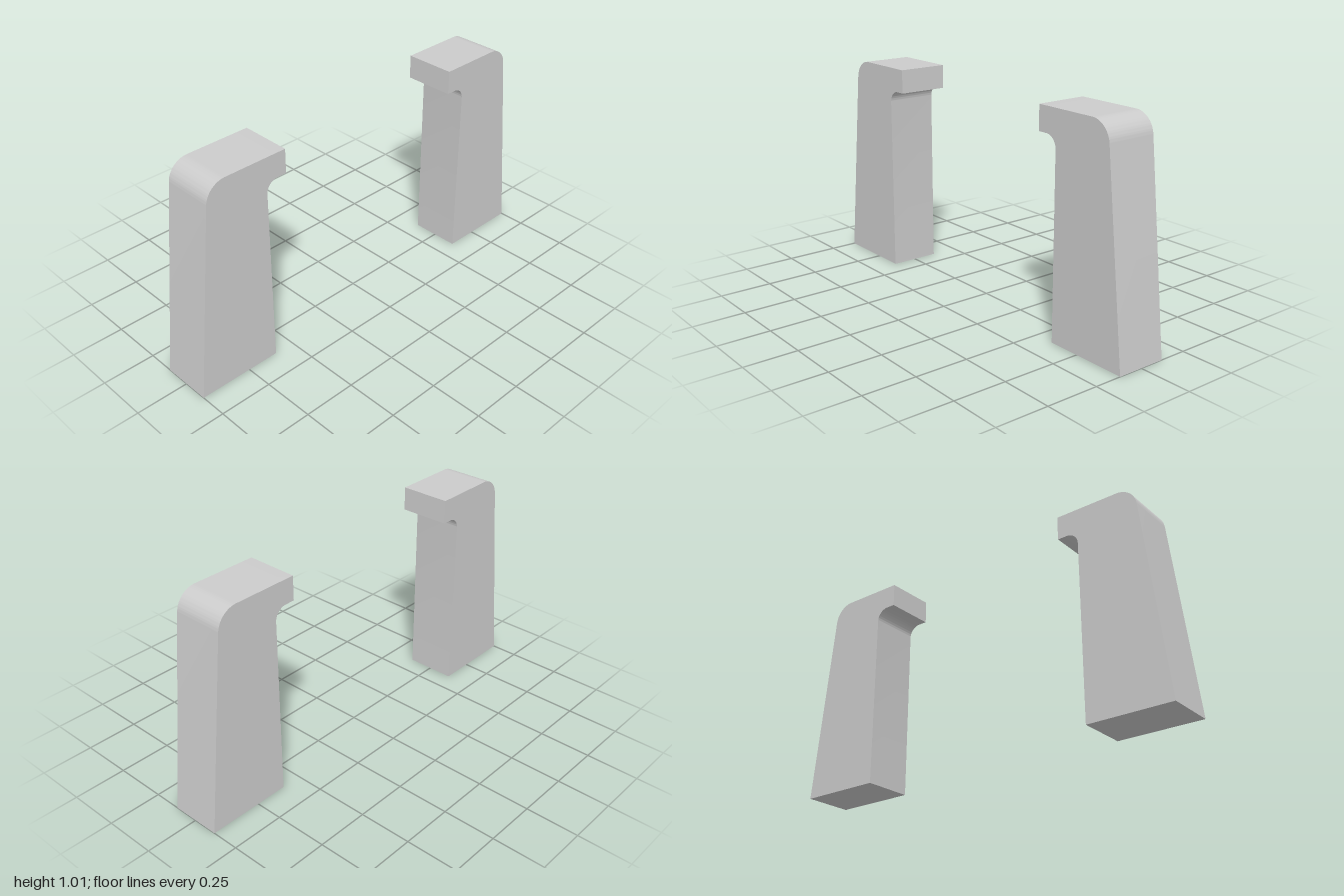
import * as THREE from 'three';
import { toCreasedNormals } from 'three/addons/utils/BufferGeometryUtils.js';

const DEPTH = 0.24;

// Side profile of one upright: tapered outer face, rounded shoulder, inward lip
function uprightGeometry() {
  const top = 1.013, inner = 0.597, tip = 0.495, lipBottom = 0.9;
  const shoulderRadius = 0.098, filletRadius = 0.057;
  const taper = 0.112; // lean of the outer face in radians

  const profile = new THREE.Shape();
  profile.moveTo(inner, 0);
  profile.lineTo(1, 0);
  profile.absarc(0.799, top - shoulderRadius, shoulderRadius, taper, Math.PI / 2, false);
  profile.lineTo(tip, top);
  profile.lineTo(tip, lipBottom);
  profile.absarc(inner - filletRadius, lipBottom - filletRadius, filletRadius, Math.PI / 2, 0, true);
  profile.closePath();

  const geometry = new THREE.ExtrudeGeometry(profile, {
    depth: DEPTH, bevelEnabled: false, curveSegments: 16,
  });
  geometry.translate(0, 0, -DEPTH / 2);
  return toCreasedNormals(geometry, 0.4);
}

export function createModel() {
  const model = new THREE.Group();
  model.name = 'hookedUprights';
  const material = new THREE.MeshStandardMaterial({ color: 0xcccccc });
  const geometry = uprightGeometry();

  // The profile is symmetric in depth, so a half turn gives the opposite side
  for (const [name, turn] of [['leftUpright', 0], ['rightUpright', Math.PI]]) {
    const upright = new THREE.Mesh(geometry, material);
    upright.name = name;
    upright.rotation.y = turn;
    model.add(upright);
  }
  return model;
}
